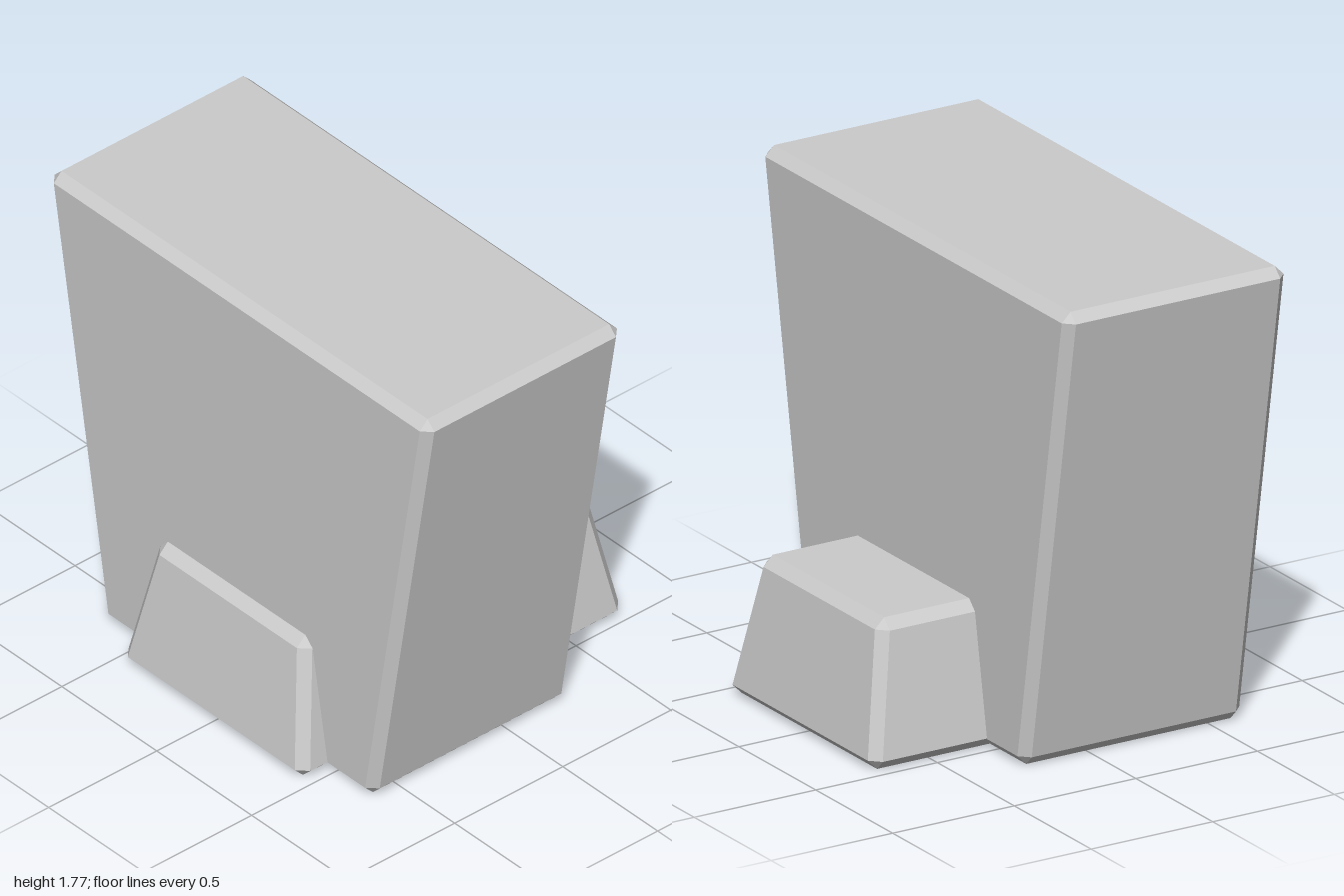
import * as THREE from 'three';
import { ConvexGeometry } from 'three/addons/geometries/ConvexGeometry.js';

const material = new THREE.MeshStandardMaterial({ color: 0xcccccc, flatShading: true });

// Tapered block with chamfered edges: three points around each corner.
// bottom and top give the half width x and half depth z at the chamfer lines.
function taperedBlock(name, height, bottom, top, bevel) {
  const points = [];
  for (const [end, y, yIn] of [[bottom, 0, bevel], [top, height, height - bevel]]) {
    for (const sx of [-1, 1]) {
      for (const sz of [-1, 1]) {
        const x = sx * end.x, z = sz * end.z;
        const xIn = sx * (end.x - bevel), zIn = sz * (end.z - bevel);
        points.push(
          new THREE.Vector3(x, yIn, zIn),
          new THREE.Vector3(xIn, y, zIn),
          new THREE.Vector3(xIn, yIn, z)
        );
      }
    }
  }
  const mesh = new THREE.Mesh(new ConvexGeometry(points), material);
  mesh.name = name;
  return mesh;
}

export function createModel() {
  const model = new THREE.Group();
  model.name = 'flaredBlockOnFoot';

  // Tall slab that widens upward, set slightly forward
  const body = taperedBlock('body', 1.774, { x: 0.712, z: 0.456 }, { x: 1, z: 0.456 }, 0.036);
  body.position.z = 0.174;

  // Low foot running through the slab from front to back
  const foot = taperedBlock('foot', 0.523, { x: 0.478, z: 0.748 }, { x: 0.4, z: 0.67 }, 0.038);

  model.add(body, foot);
  return model;
}
